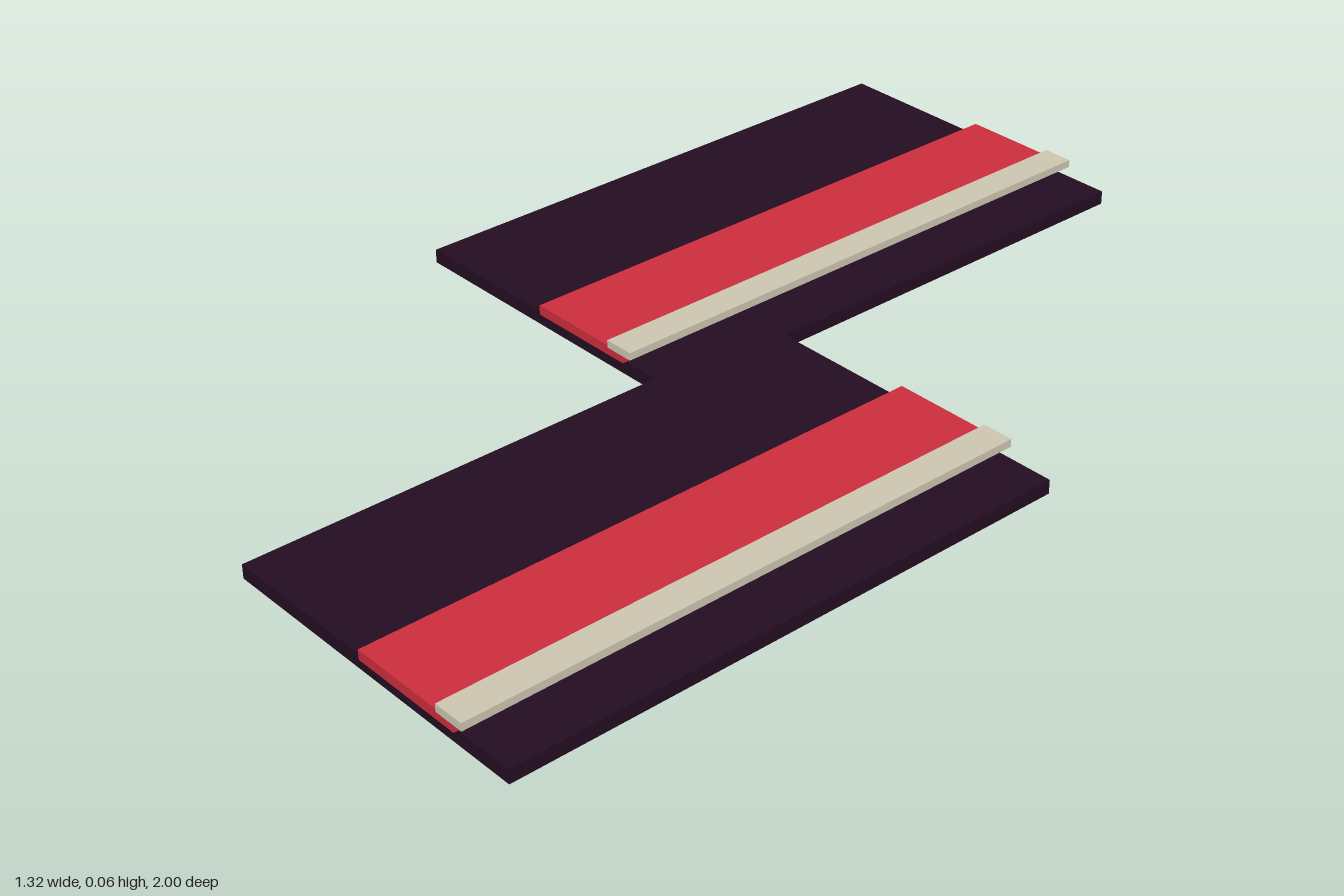
import * as THREE from 'three';

export function createModel() {
  const model = new THREE.Group();
  model.name = 'steppedPanels';

  const material = (name, color) => {
    const m = new THREE.MeshStandardMaterial({ color });
    m.name = name;
    return m;
  };
  const dark = material('dark plum', 0x230d21);
  const red = material('red', 0xcb2d3c);
  const beige = material('beige', 0xcac4b0);

  // Box given by its x and y extents and its length along z
  const slab = (name, x0, x1, y0, y1, length, mat) => {
    const mesh = new THREE.Mesh(new THREE.BoxGeometry(x1 - x0, y1 - y0, length), mat);
    mesh.position.set((x0 + x1) / 2, (y0 + y1) / 2, 0);
    mesh.name = name;
    return mesh;
  };

  // Two identical panels, touching at one corner
  for (const [name, side] of [['backRightPanel', -1], ['frontLeftPanel', 1]]) {
    const panel = new THREE.Group();
    panel.name = name;
    panel.add(
      slab('base', -0.34, 0.34, 0, 0.027, 1.128, dark),
      slab('redRunner', -0.013, 0.222, 0.027, 0.046, 1.144, red),
      slab('beigeTrim', 0.181, 0.243, 0.042, 0.057, 1.146, beige),
    );
    panel.position.set(0.32 * side, 0, 0.427 * side);
    model.add(panel);
  }
  return model;
}
